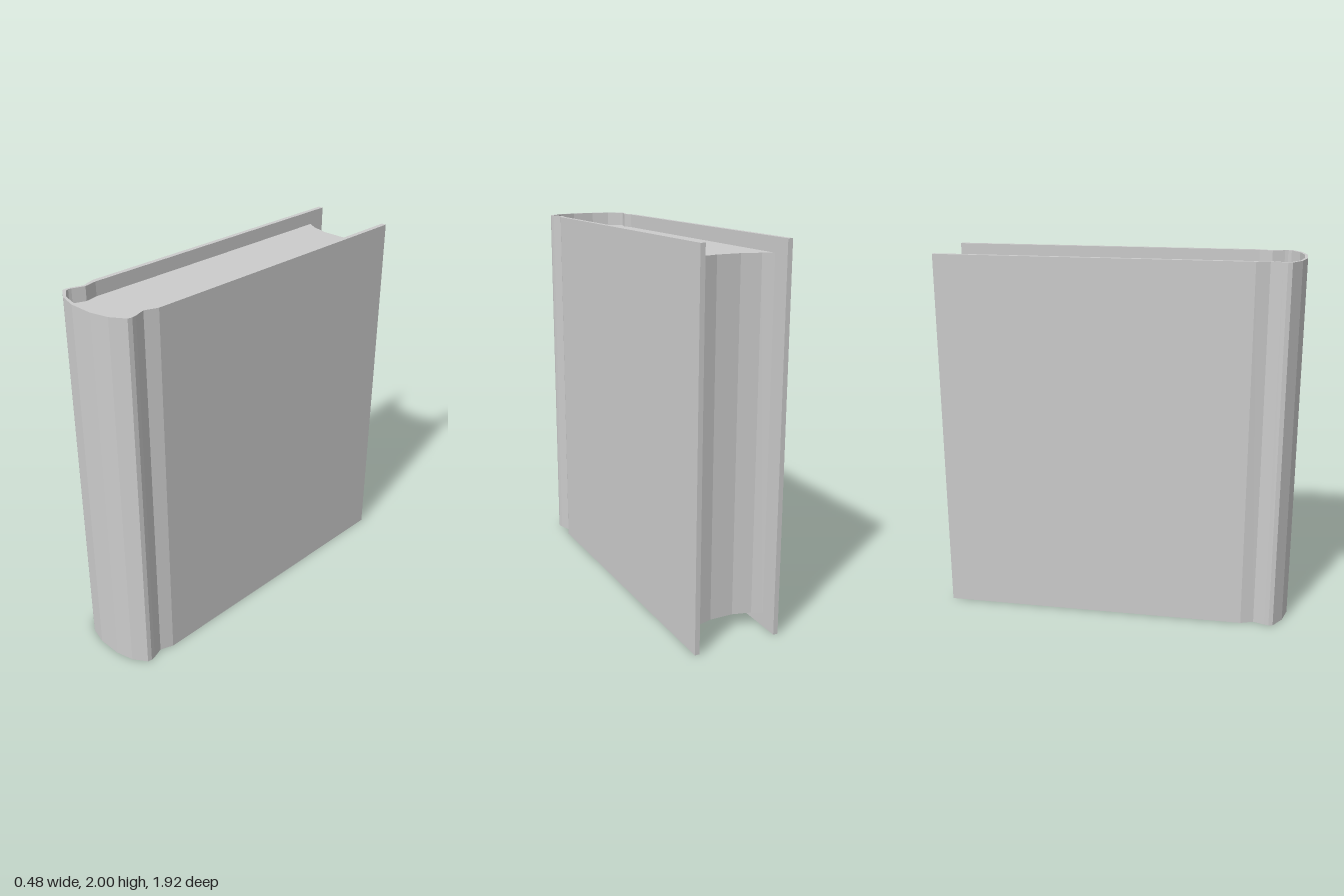
import * as THREE from 'three';

// Half profiles as [x, z], from the fore-edge to the middle of the spine
const outer = [[0.241, -0.962], [0.241, 0.71], [0.215, 0.78], [0.236, 0.84], [0.241, 0.865],
  [0.236, 0.888], [0.163, 0.937], [0.066, 0.962]];
const inner = [[0.215, -0.962], [0.215, 0.71], [0.201, 0.78], [0.224, 0.845], [0.226, 0.862],
  [0.219, 0.88], [0.156, 0.924], [0.062, 0.947]];
// Hollow fore-edge of the pages, from the cover to the middle
const foreEdge = [[0.215, -0.86], [0.163, -0.83], [0.064, -0.803]];

// Add the mirrored half so the line runs from +x to -x
const mirrored = (half) => [...half, ...half.map(([x, z]) => [-x, z]).reverse()];

// Upright prism with the given [x, z] outline
function prism(name, outline, y0, y1) {
  const shape = new THREE.Shape(outline.map(([x, z]) => new THREE.Vector2(x, -z)));
  const geometry = new THREE.ExtrudeGeometry(shape, { depth: y1 - y0, bevelEnabled: false });
  geometry.rotateX(-Math.PI / 2).translate(0, y0, 0);
  const material = new THREE.MeshStandardMaterial({ color: 0xcccccc, flatShading: true });
  const mesh = new THREE.Mesh(geometry, material);
  mesh.name = name;
  return mesh;
}

export function createModel() {
  const book = new THREE.Group();
  book.name = 'book';

  // Boards, hinge grooves and rounded spine in one wrapped sheet
  book.add(prism('cover', [...mirrored(outer), ...mirrored(inner).reverse()], 0, 2));

  // Page block fills the cover and is set in at top, bottom and fore-edge
  const pages = [...mirrored(inner.slice(1)), ...mirrored(foreEdge).reverse()];
  book.add(prism('pages', pages, 0.075, 1.925));

  return book;
}
